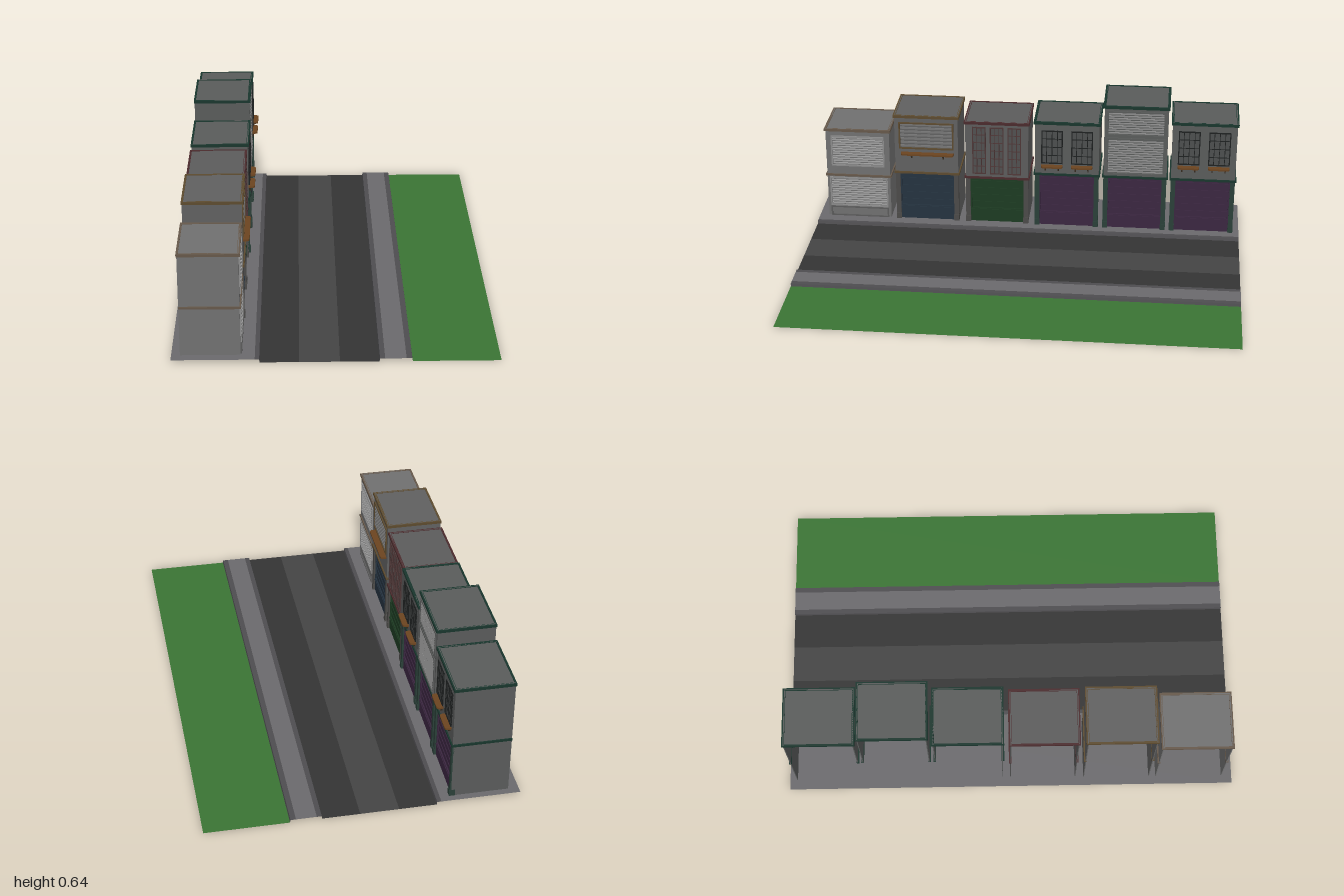
import * as THREE from 'three';

const mats = {};
const mat = c => (mats[c] ??= new THREE.MeshStandardMaterial({ color: c, side: THREE.DoubleSide }));

// Box given by its limits on each axis
function box(parent, name, [x0, x1], [y0, y1], [z0, z1], color) {
  const m = new THREE.Mesh(new THREE.BoxGeometry(x1 - x0, y1 - y0, Math.abs(z1 - z0)), mat(color));
  m.position.set((x0 + x1) / 2, (y0 + y1) / 2, (z0 + z1) / 2);
  m.name = name;
  parent.add(m);
  return m;
}

// Moulding running round the house; the rear run is optional
function cornice(g, name, b, y0, y1, out, color, rear) {
  const { x0, x1, z0, z1 } = b, t = 0.006;
  box(g, name + 'Front', [x1 - t, x1 + out], [y0, y1], [z0 - out, z1 + out], color);
  box(g, name + 'SideA', [x0, x1], [y0, y1], [z0 - out, z0 + t], color);
  box(g, name + 'SideB', [x0, x1], [y0, y1], [z1 - t, z1 + out], color);
  if (rear) box(g, name + 'Rear', [x0 - out / 2, x0 + t], [y0, y1], [z0 - out, z1 + out], color);
}

// Rectangular frame standing on the facade
function frame(g, name, x, [y0, y1], [z0, z1], w, color) {
  const xs = [x, x + 0.006];
  for (const z of [z0, z1 - w]) box(g, name, xs, [y0, y1], [z, z + w], color);
  for (const y of [y0, y1 - w]) box(g, name, xs, [y, y + w], [z0, z1], color);
}

// Framed field of horizontal slats
function louvre(g, x, ys, zs, color, frameColor, step = 0.012) {
  frame(g, 'louvreFrame', x, ys, zs, 0.007, frameColor);
  for (let y = ys[0] + 0.012; y < ys[1] - 0.01; y += step)
    box(g, 'louvreSlat', [x, x + 0.004], [y, y + step * 0.5], [zs[0] + 0.008, zs[1] - 0.008], color);
}

// Glazed window with a grid of bars
function barWindow(g, x, ys, zs, cols, rows, color, glass) {
  box(g, 'windowPane', [x, x + 0.002], ys, zs, glass);
  frame(g, 'windowFrame', x, ys, zs, 0.005, color);
  for (let i = 1; i < cols; i++) {
    const z = zs[0] + (zs[1] - zs[0]) * i / cols;
    box(g, 'windowBar', [x, x + 0.005], ys, [z - 0.0015, z + 0.0015], color);
  }
  for (let i = 1; i < rows; i++) {
    const y = ys[0] + (ys[1] - ys[0]) * i / rows;
    box(g, 'windowBar', [x, x + 0.005], [y - 0.0015, y + 0.0015], zs, color);
  }
}

// Ledge with rounded front corners on two brackets
function ledge(g, x, y, [z0, z1]) {
  const d = 0.028, r = 0.014, s = new THREE.Shape();
  s.moveTo(0, -z0).lineTo(d - r, -z0).quadraticCurveTo(d, -z0, d, -z0 - r);
  s.lineTo(d, -z1 + r).quadraticCurveTo(d, -z1, d - r, -z1).lineTo(0, -z1);
  const geo = new THREE.ExtrudeGeometry(s, { depth: 0.008, bevelEnabled: false, curveSegments: 4 });
  const m = new THREE.Mesh(geo.rotateX(-Math.PI / 2), mat(0x6b4420));
  m.position.set(x, y, 0);
  m.name = 'windowLedge';
  g.add(m);
  for (const k of [0.2, 0.8]) {
    const z = z0 + (z1 - z0) * k;
    box(g, 'ledgeBracket', [x, x + 0.018], [y - 0.008, y], [z - 0.003, z + 0.003], 0x33281c);
    box(g, 'ledgeBracket', [x, x + 0.009], [y - 0.02, y - 0.008], [z - 0.003, z + 0.003], 0x33281c);
  }
}

// Shop front: pilasters, recessed panel, seams and plinth
function shopFront(g, b, top, color, trim) {
  const { x1, z0, z1 } = b, w = 0.022, x = x1 - 0.012, zs = [z0 + w, z1 - w];
  for (const z of [z0, z1 - w]) {
    box(g, 'pilaster', [x1 - 0.02, x1 + 0.002], [BASE, top], [z, z + w], trim);
    box(g, 'pilasterFoot', [x1 - 0.02, x1 + 0.005], [BASE, BASE + 0.03], [z - 0.001, z + w + 0.001], trim);
  }
  box(g, 'shopPanel', [x - 0.004, x], [BASE, top], zs, color);
  box(g, 'shopPlinth', [x, x + 0.006], [BASE, 0.07], zs, color);
  box(g, 'shopSill', [x, x + 0.009], [0.07, 0.077], zs, color);
  for (let y = 0.11; y < top - 0.02; y += 0.036)
    box(g, 'shopSeam', [x, x + 0.003], [y, y + 0.005], zs, color);
  frame(g, 'shopFrame', x, [0.077, top], zs, 0.006, color);
}

const BASE = 0.013;
const GREEN = 0x18352c, OCHRE = 0x5c4a2e, PURPLE = 0x3a2640;

// z limits, heights, wall and trim colours; "open" marks ground-floor party walls left out
const HOUSES = [
  { x0: -0.625, x1: -0.374, z0: -0.97, z1: -0.672, mid: 0.275, top: 0.567, wall: 0x595b5a, trim: GREEN, shop: PURPLE, open: [0, 1], style: 'pair' },
  { x0: -0.625, x1: -0.374, z0: -0.652, z1: -0.357, mid: 0.275, top: 0.638, wall: 0x595b5a, trim: GREEN, shop: PURPLE, open: [1, 1], style: 'tall' },
  { x0: -0.625, x1: -0.374, z0: -0.335, z1: -0.035, mid: 0.275, top: 0.546, wall: 0x595b5a, trim: GREEN, shop: PURPLE, open: [1, 0], style: 'pair' },
  { x0: -0.627, x1: -0.382, z0: -0.003, z1: 0.293, mid: 0.24, top: 0.53, wall: 0x5b5b5b, trim: 0x4a2a2c, shop: 0x1c3a22, open: [0, 0], style: 'triple' },
  { x0: -0.63, x1: -0.382, z0: 0.328, z1: 0.627, mid: 0.252, top: 0.549, wall: 0x606060, trim: OCHRE, shop: 0x24323f, open: [0, 0], style: 'wide' },
  { x0: -0.634, x1: -0.388, z0: 0.655, z1: 0.957, mid: 0.222, top: 0.465, wall: 0x707070, trim: 0x66584a, shop: null, open: [0, 0], style: 'louvred' },
];

function upperFront(g, b) {
  const { x1: x, z0, z1, mid, top, wall } = b, c = (z0 + z1) / 2;
  const pale = 0x8c8c8c, dark = 0x1c1f1f;
  if (b.style === 'pair') {
    for (const s of [-1, 1]) {
      const zc = c + s * 0.07, zs = [zc - 0.05, zc + 0.05];
      barWindow(g, x, [top - 0.21, top - 0.042], zs, 4, 4, dark, 0x4c4e4e);
      ledge(g, x, top - 0.225, zs);
    }
  } else if (b.style === 'tall') {
    louvre(g, x, [0.49, 0.615], [z0 + 0.012, z1 - 0.012], pale, wall);
    louvre(g, x, [mid + 0.018, 0.48], [z0 + 0.012, z1 - 0.012], pale, wall);
  } else if (b.style === 'triple') {
    for (const s of [-1, 0, 1])
      barWindow(g, x, [0.265, 0.505], [c + s * 0.083 - 0.032, c + s * 0.083 + 0.032], 3, 6, 0x4d3636, 0x505050);
  } else if (b.style === 'wide') {
    louvre(g, x, [0.38, 0.515], [z0 + 0.02, z1 - 0.02], 0x777777, OCHRE, 0.018);
    ledge(g, x, 0.355, [z0 + 0.02, z1 - 0.03]);
  } else {
    louvre(g, x, [0.275, 0.43], [z0 + 0.024, z1 - 0.024], 0xa0a0a0, pale);
  }
}

function house(b, i) {
  const g = new THREE.Group();
  g.name = 'house' + (i + 1);
  const { x0, x1, z0, z1, mid, top, wall, trim } = b, t = 0.004;
  // Side walls, upper front wall and roof; the rear stays open
  [[z0, z0 + t], [z1 - t, z1]].forEach((zs, k) =>
    box(g, 'sideWall', [x0, x1 - 0.004], [b.open[k] ? mid : BASE, top], zs, wall));
  box(g, 'upperFrontWall', [x1 - t, x1], [mid, top], [z0, z1], wall);
  box(g, 'roof', [x0, x1], [top - 0.006, top - 0.002], [z0, z1], wall);
  // Mouldings
  cornice(g, 'roofCornice', b, top - 0.012, top, 0.006, trim, true);
  cornice(g, 'floorCornice', b, mid, mid + 0.01, 0.006, trim, false);
  // Fronts
  if (b.shop !== null) shopFront(g, b, mid, b.shop, trim === GREEN ? 0x2a3f38 : 0x4b4a48);
  else {
    box(g, 'lowerFrontWall', [x1 - t, x1], [BASE, mid], [z0, z1], wall);
    louvre(g, x1, [0.065, mid - 0.006], [z0 + 0.012, z1 - 0.012], 0xa0a0a0, 0x8c8c8c);
    frame(g, 'plinthFrame', x1, [BASE, 0.062], [z0 + 0.012, z1 - 0.012], 0.006, 0x5a5a5a);
  }
  upperFront(g, b);
  return g;
}

// Street surface: open strips following the cross-section from wall side to grass
function street() {
  const g = new THREE.Group();
  g.name = 'street';
  const h = 0.013;
  const strips = [
    ['housePavement', -0.67, h, -0.33, h, 0x6a696c],
    ['kerbTop', -0.33, h, -0.312, h, 0x4e4d50],
    ['kerbFace', -0.312, h, -0.31, 0, 0x4e4d50],
    ['roadLane', -0.31, 0, -0.15, 0, 0x343434],
    ['roadMiddle', -0.15, 0, 0.015, 0, 0x444444],
    ['roadLane', 0.015, 0, 0.175, 0, 0x343434],
    ['kerbFace', 0.175, 0, 0.177, h, 0x4e4d50],
    ['kerbTop', 0.177, h, 0.198, h, 0x4e4d50],
    ['parkPavement', 0.198, h, 0.285, h, 0x6a696c],
    ['kerbTop', 0.285, h, 0.308, h, 0x4e4d50],
    ['kerbFace', 0.308, h, 0.31, 0, 0x4e4d50],
    ['grass', 0.31, 0, 0.67, 0, 0x3a7434],
  ];
  for (const [name, xa, ya, xb, yb, color] of strips) {
    const geo = new THREE.PlaneGeometry(Math.hypot(xb - xa, yb - ya), 2).rotateX(-Math.PI / 2);
    const m = new THREE.Mesh(geo.rotateZ(Math.atan2(yb - ya, xb - xa)), mat(color));
    m.position.set((xa + xb) / 2, (ya + yb) / 2, 0);
    m.name = name;
    g.add(m);
  }
  return g;
}

export function createModel() {
  const model = new THREE.Group();
  model.name = 'streetTerrace';
  model.add(street(), ...HOUSES.map(house));
  return model;
}
